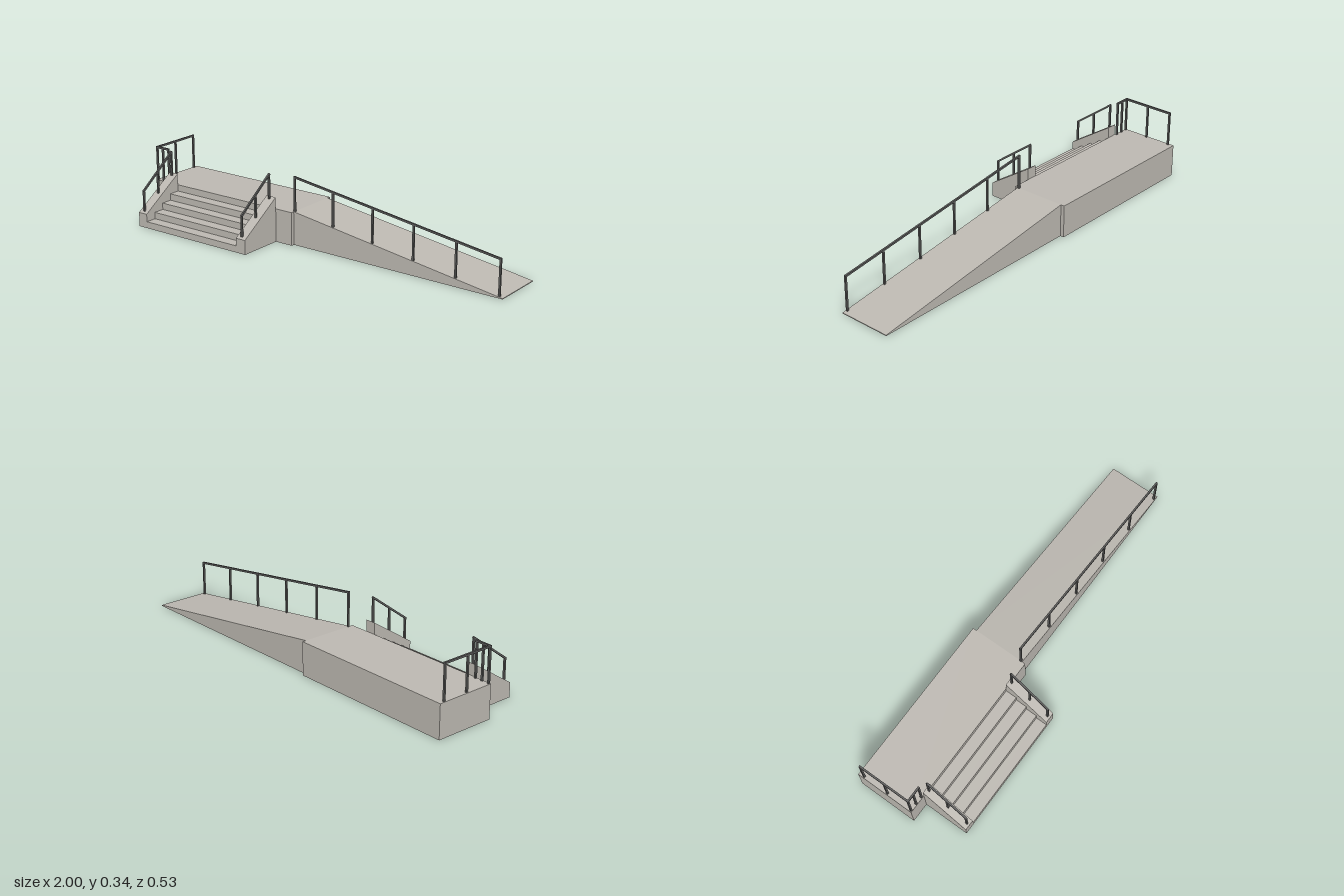
import * as THREE from 'three';

const concrete = new THREE.MeshStandardMaterial({ color: 0xbcb8b1 });
concrete.name = 'concrete';
const metal = new THREE.MeshStandardMaterial({ color: 0x5c5c5b });
metal.name = 'railMetal';

const BAR = 0.009; // square rail section
const DECK = 0.165; // platform height

function add(parent, name, geometry, material) {
  const mesh = new THREE.Mesh(geometry, material);
  mesh.name = name;
  parent.add(mesh);
  return mesh;
}

// Extrude an (x, y) outline along z from z0 to z1
function alongZ(points, z0, z1) {
  const shape = new THREE.Shape(points.map(([x, y]) => new THREE.Vector2(x, y)));
  return new THREE.ExtrudeGeometry(shape, { depth: z1 - z0, bevelEnabled: false }).translate(0, 0, z0);
}

// Extrude a (z, y) outline along x from x0 to x1
function alongX(points, x0, x1) {
  const g = alongZ(points.map(([z, y]) => [-z, y]), 0, x1 - x0);
  return g.rotateY(Math.PI / 2).translate(x0, 0, 0);
}

// Railing between two top points, with evenly spaced posts down to baseY(point)
function railing(parent, name, from, to, postCount, baseY) {
  const group = new THREE.Group();
  group.name = name;
  parent.add(group);
  const a = new THREE.Vector3(...from);
  const b = new THREE.Vector3(...to);
  const bar = add(group, 'topRail', new THREE.BoxGeometry(BAR, BAR, a.distanceTo(b) + BAR), metal);
  bar.position.lerpVectors(a, b, 0.5);
  bar.lookAt(b);
  for (let i = 0; i < postCount; i++) {
    const p = a.clone().lerp(b, i / (postCount - 1));
    const base = baseY(p);
    const post = add(group, 'post', new THREE.BoxGeometry(BAR, p.y - base, BAR), metal);
    post.position.set(p.x, (p.y + base) / 2, p.z);
  }
}

export function createModel() {
  const model = new THREE.Group();
  model.name = 'entranceStepsAndRamp';

  // Landing
  add(model, 'landing', new THREE.BoxGeometry(0.865, DECK, 0.3), concrete)
    .position.set(-0.5675, DECK / 2, -0.115);

  // Ramp down to a thin lip
  add(model, 'ramp', alongZ([[-0.135, 0], [1, 0], [1, 0.004], [-0.135, DECK]], -0.246, 0.018), concrete);

  // Four steps
  const front = 0.264, back = 0.035, count = 4;
  const tread = (front - back) / count, rise = DECK / (count + 1);
  const profile = [[back, 0], [front, 0]];
  for (let i = 0; i < count; i++) {
    profile.push([front - i * tread, (i + 1) * rise], [front - (i + 1) * tread, (i + 1) * rise]);
  }
  // outline is listed against the flipped z axis, so reverse it
  add(model, 'steps', alongX(profile.reverse(), -0.855, -0.284), concrete);

  // Sloping side walls of the steps with their handrails
  for (const [side, x0, x1, railX] of [['right', -0.906, -0.855, -0.88], ['left', -0.284, -0.23, -0.258]]) {
    add(model, side + 'StepWall',
      alongX([[back, 0], [back, 0.222], [front, 0.071], [front, 0]], x0, x1), concrete);
    railing(model, side + 'StepRailing', [railX, 0.183, 0.251], [railX, 0.333, 0.049], 3,
      (p) => 0.071 + (front - p.z) * 0.659);
  }

  // Landing railings: along the end and the short front return
  railing(model, 'landingEndRailing', [-0.992, 0.335, 0.029], [-0.992, 0.335, -0.236], 3, () => DECK);
  railing(model, 'landingFrontRailing', [-0.992, 0.335, 0.029], [-0.917, 0.335, 0.029], 3, () => DECK);

  // Ramp railing
  railing(model, 'rampRailing', [-0.134, 0.333, 0.01], [0.979, 0.178, 0.01], 6,
    (p) => DECK - (p.x + 0.135) * 0.1419);

  return model;
}
